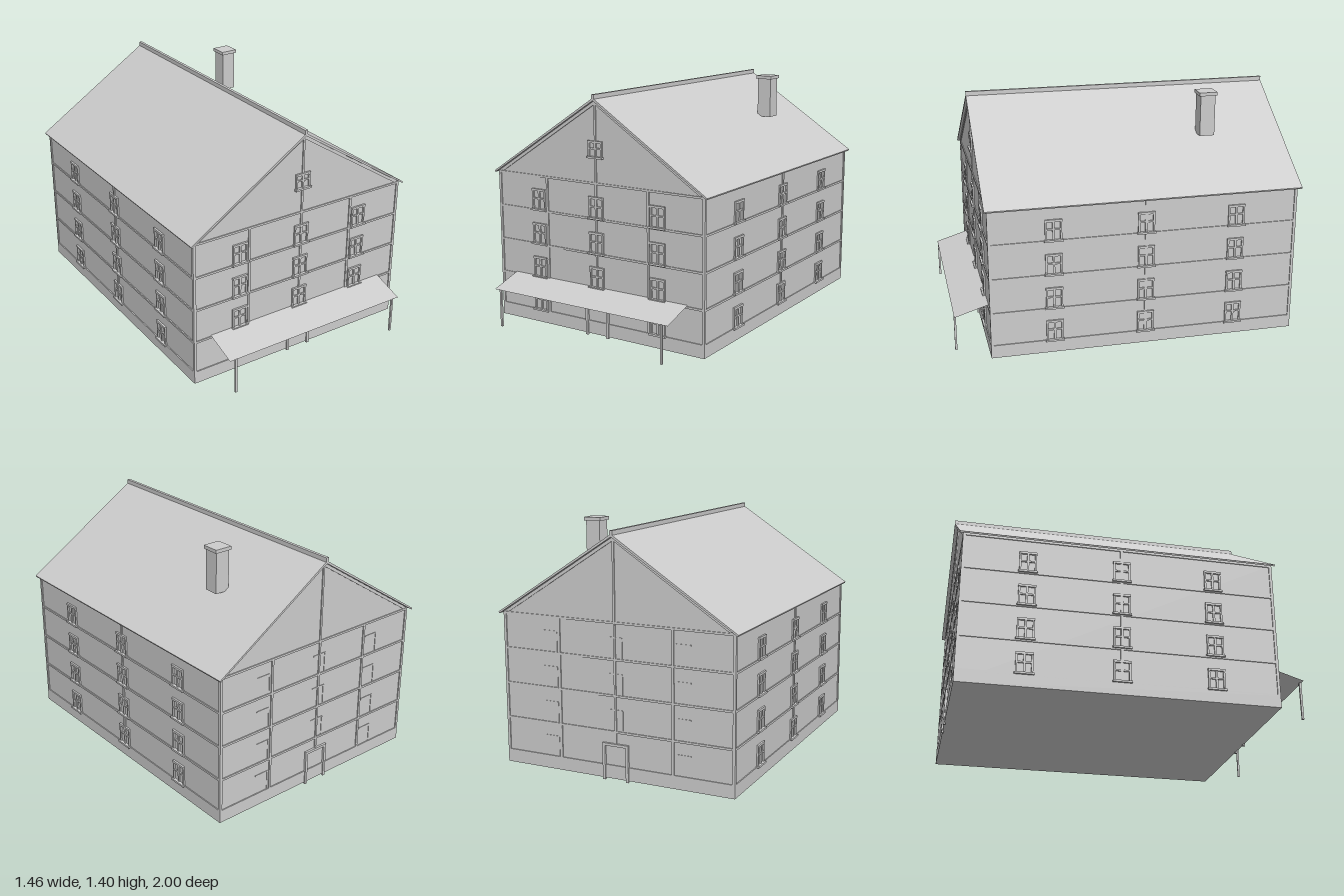
import * as THREE from 'three';

export function createModel() {
  const plaster = new THREE.MeshStandardMaterial({ color: 0xcccccc });
  plaster.name = 'paleGrey';
  const sheet = new THREE.MeshStandardMaterial({ color: 0xcccccc, side: THREE.DoubleSide });
  sheet.name = 'paleGreySheet';

  const model = new THREE.Group();
  model.name = 'house';
  const Z_FRONT = 0.81, Z_BACK = -0.98, Z_MID = (Z_FRONT + Z_BACK) / 2;
  const HALF_W = 0.71, HALF_L = (Z_FRONT - Z_BACK) / 2, INSET = 0.006;
  const FLOORS = [0.08, 0.28, 0.482, 0.685];

  const mesh = (parent, name, geometry, material = plaster) => {
    const m = new THREE.Mesh(geometry, material);
    m.name = name;
    parent.add(m);
    return m;
  };
  // Box given by its lower and upper limits on each axis
  const box = (parent, name, x0, x1, y0, y1, z0, z1) => {
    const m = mesh(parent, name, new THREE.BoxGeometry(x1 - x0, y1 - y0, z1 - z0));
    m.position.set((x0 + x1) / 2, (y0 + y1) / 2, (z0 + z1) / 2);
    return m;
  };
  // Outline in x, y drawn out along z
  const prism = (parent, name, points, z0, z1) => {
    const shape = new THREE.Shape(points.map(p => new THREE.Vector2(...p)));
    const g = new THREE.ExtrudeGeometry(shape, { depth: z1 - z0, bevelEnabled: false });
    const m = mesh(parent, name, g);
    m.position.z = z0;
    return m;
  };

  // Wall core with both gables
  const w = HALF_W - INSET;
  prism(model, 'walls', [[-w, 0.01], [w, 0.01], [w, 0.895], [0, 1.352], [-w, 0.895]],
    Z_BACK + INSET, Z_FRONT - INSET);
  box(model, 'plinth', -HALF_W, HALF_W, 0.01, 0.08, Z_BACK, Z_FRONT);

  // Roof, ridge cap and chimney
  prism(model, 'roof', [[0, 1.366], [-0.73, 0.893], [-0.726, 0.884], [0, 1.351],
    [0.726, 0.884], [0.73, 0.893]], -1, 0.825);
  box(model, 'ridgeCap', -0.009, 0.009, 1.355, 1.385, -1, 0.825);
  box(model, 'chimneyShaft', 0.317, 0.405, 1.142, 1.382, -0.571, -0.483);
  box(model, 'chimneyCap', 0.308, 0.413, 1.38, 1.4, -0.58, -0.474);

  // Each facade is built facing +z with its wall surface at z = 0
  const facade = (name, x, z, turn) => {
    const g = new THREE.Group();
    g.name = name;
    g.position.set(x, 0, z);
    g.rotation.y = turn;
    model.add(g);
    return g;
  };

  // Corner posts and floor beams
  const frame = (g, half) => {
    for (const s of [-1, 1]) {
      const x = s * (half - 0.008);
      box(g, 'cornerPost', x - 0.008, x + 0.008, 0.08, 0.895, -0.001, INSET);
    }
    for (const y of [0.08, 0.278, 0.482, 0.685, 0.888])
      box(g, 'floorBeam', -half + 0.015, half - 0.015, y - 0.006, y + 0.006, -0.001, INSET);
  };

  const windowUnit = (parent, x, y, h = 0.125) => {
    const g = new THREE.Group();
    g.name = 'window';
    g.position.set(x, y, 0);
    parent.add(g);
    box(g, 'sill', -0.054, 0.054, 0, 0.011, 0, 0.018);
    box(g, 'lintel', -0.049, 0.049, h - 0.01, h + 0.003, 0, 0.011);
    for (const s of [-1, 1])
      box(g, 'jamb', s * 0.043 - 0.005, s * 0.043 + 0.005, 0.01, h - 0.009, 0, 0.009);
    box(g, 'mullion', -0.006, 0.006, 0.01, h - 0.009, 0, 0.008);
    box(g, 'transom', -0.04, 0.04, h * 0.53, h * 0.53 + 0.009, 0, 0.008);
  };

  const doorway = g => {
    for (const s of [-1, 1])
      box(g, 'doorJamb', s * 0.072 - 0.008, s * 0.072 + 0.008, 0, 0.2, -0.001, 0.013);
    box(g, 'doorLintel', -0.08, 0.08, 0.197, 0.212, -0.001, 0.013);
  };

  // Vertical posts and gable timbers shared by both ends
  const gableEnd = g => {
    frame(g, HALF_W);
    for (const x of [-0.349, 0.349])
      box(g, 'post', x - 0.007, x + 0.007, 0.08, 0.89, -0.001, INSET);
    box(g, 'centrePost', -0.006, 0.006, 0.21, 1.345, -0.001, INSET);
    for (const s of [-1, 1]) {
      const rake = [[0, 1.35], [s * 0.7, 0.899], [s * 0.675, 0.895], [0, 1.33]];
      prism(g, 'rakeTimber', rake, -0.001, INSET);
    }
    doorway(g);
  };

  const front = facade('frontFacade', 0, Z_FRONT - INSET, 0);
  gableEnd(front);
  FLOORS.forEach((y, i) => {
    for (const x of i ? [-0.41, 0, 0.41] : [-0.41, 0.41]) windowUnit(front, x, y);
  });
  windowUnit(front, 0, 1.03, 0.095);

  // Rear openings are nearly flush, with only slim edges showing
  const back = facade('backFacade', 0, Z_BACK + INSET, Math.PI);
  gableEnd(back);
  FLOORS.forEach((y, i) => {
    for (const x of i ? [-0.41, 0, 0.41] : [-0.41, 0.41]) {
      box(back, 'flushLintel', x - 0.045, x + 0.045, y + 0.118, y + 0.125, -0.001, 0.003);
      box(back, 'flushJamb', x + 0.04, x + 0.047, y, y + 0.12, -0.001, 0.003);
    }
  });

  for (const s of [-1, 1]) {
    const side = facade(s > 0 ? 'leftFacade' : 'rightFacade', s * w, Z_MID, s * Math.PI / 2);
    frame(side, HALF_L);
    box(side, 'centrePost', -0.008, 0.008, 0.08, 0.888, -0.001, INSET);
    for (const y of FLOORS)
      for (const x of [-0.53, 0, 0.53]) windowUnit(side, x, y);
  }

  // Sloping awning sheet on two slim posts
  const awning = new THREE.PlaneGeometry(1.2, Math.hypot(0.195, 0.06));
  awning.rotateX(-Math.PI / 2 + Math.atan2(0.06, 0.195));
  mesh(model, 'awning', awning, sheet).position.set(0, 0.26, 0.9025);
  for (const s of [-1, 1])
    box(model, 'awningPost', s * 0.558 - 0.006, s * 0.558 + 0.006, 0.01, 0.232, 0.988, 1);

  return model;
}
